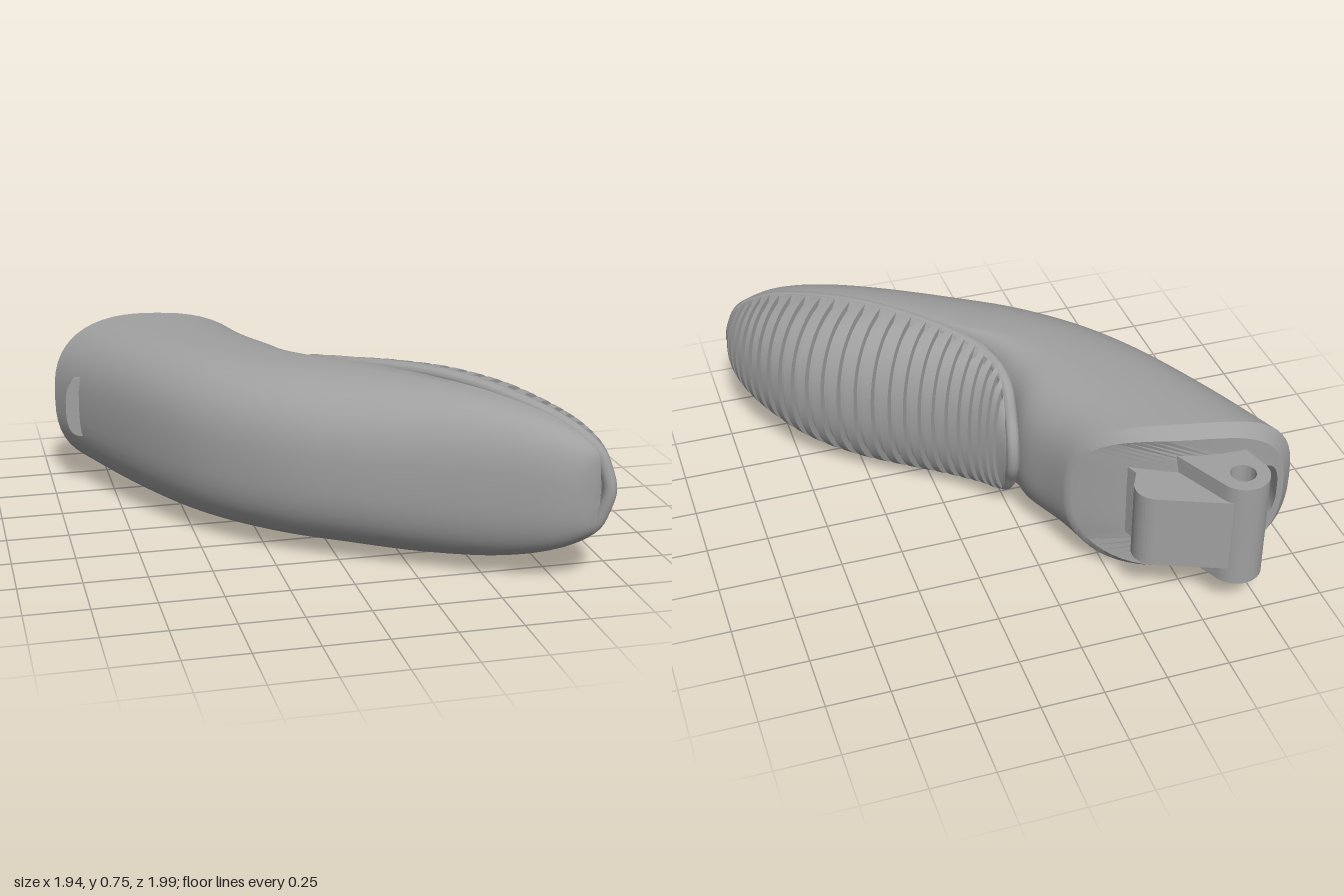
import * as THREE from 'three';
import { toCreasedNormals } from 'three/addons/utils/BufferGeometryUtils.js';

const MID = 0.379; // height of the horizontal symmetry plane
const V = (x, y, z) => new THREE.Vector3(x, y, z);
const spow = (v, e) => Math.sign(v) * Math.pow(Math.abs(v), e);

// Skin a list of equally long point rings
function loft(rings, crease) {
  const pos = [], idx = [], n = rings[0].length;
  rings.forEach(r => r.forEach(p => pos.push(p.x, p.y, p.z)));
  for (let i = 0; i < rings.length - 1; i++)
    for (let j = 0; j < n - 1; j++) {
      const a = i * n + j, b = a + n, c = b + 1, d = a + 1;
      idx.push(a, d, b, b, d, c);
    }
  const g = new THREE.BufferGeometry();
  g.setAttribute('position', new THREE.Float32BufferAttribute(pos, 3));
  g.setIndex(idx);
  return toCreasedNormals(g, crease);
}

// Body stations: outer x, z; inner x, z; half height; widest point (-1 outer, 1 inner); end bulge
const BODY = [
  [-0.97, -0.70, -0.10, -0.51, 0.35, 0, 0.09],
  [-0.82, -0.38, -0.06, -0.40, 0.35, 0, 0.03],
  [-0.65, -0.04, 0.00, -0.25, 0.35, 0.05, 0],
  [-0.48, 0.22, 0.00, -0.10, 0.35, 0.3, 0],
  [-0.25, 0.45, 0.03, 0.05, 0.352, 0.6, 0],
  [0.00, 0.62, 0.15, 0.22, 0.352, 0.85, 0],
  [0.25, 0.755, 0.36, 0.44, 0.345, 0.9, 0],
  [0.48, 0.875, 0.58, 0.66, 0.315, 0.9, 0],
  [0.66, 0.96, 0.76, 0.84, 0.255, 0.9, 0],
  [0.77, 0.99, 0.87, 0.95, 0.17, 0.8, 0],
  [0.84, 0.985, 0.88, 0.97, 0.08, 0.5, 0],
  [0.88, 0.97, 0.885, 0.965, 0.002, 0, 0],
];

// Pad stations: seam x, z; crown x, z; half height
const PAD = [
  [0.015, -0.23, 0.04, -0.245, 0.08],
  [0.00, -0.10, 0.085, -0.165, 0.27],
  [0.03, 0.05, 0.16, -0.075, 0.325],
  [0.12, 0.19, 0.28, 0.03, 0.35],
  [0.25, 0.33, 0.43, 0.14, 0.367],
  [0.40, 0.48, 0.61, 0.265, 0.369],
  [0.55, 0.63, 0.77, 0.41, 0.345],
  [0.70, 0.78, 0.88, 0.58, 0.295],
  [0.80, 0.87, 0.945, 0.73, 0.24],
  [0.88, 0.935, 0.965, 0.86, 0.16],
  [0.915, 0.96, 0.925, 0.95, 0.04],
];

// Smooth lookup in a station table, t from 0 to 1
function sampler(table) {
  const n = table.length - 1;
  return t => {
    const f = Math.min(t, 1) * n, i = Math.min(Math.floor(f), n - 1), w = f - i;
    const row = k => table[Math.max(0, Math.min(n, k))];
    return table[0].map((_, c) => {
      const [p0, p1, p2, p3] = [row(i - 1)[c], row(i)[c], row(i + 1)[c], row(i + 2)[c]];
      const m1 = (p2 - p0) / 2, m2 = (p3 - p1) / 2, d = p1 - p2;
      return p1 + w * (m1 + w * (-3 * d - 2 * m1 - m2 + w * (2 * d + m1 + m2)));
    });
  };
}

// Rounded ring across a station; lo..hi is its span, push moves it out of the rear end
function bodyRing([ox, oz, ix, iz, h, c, bulge], lo = -1, hi = 1, push = 0, power = 2.7) {
  const mx = (ox + ix) / 2, mz = (oz + iz) / 2, ux = (ix - ox) / 2, uz = (iz - oz) / 2;
  const len = Math.hypot(ux, uz), ring = [], N = 56;
  for (let j = 0; j <= N; j++) {
    const a = j / N * Math.PI * 2, cs = spow(Math.cos(a), 2 / power);
    const u = c + cs * (cs > 0 ? hi - c : c - lo);
    const out = bulge * (1 - u * u) + push * (push > 0 ? 1 - Math.max(0, u) ** 2 : 1);
    ring.push(V(mx + u * ux + uz / len * out, MID + h * spow(Math.sin(a), 2 / power), mz + u * uz - ux / len * out));
  }
  return ring;
}

function bodyGeometry() {
  const at = sampler(BODY), end = BODY[0];
  const endRow = (h, c) => [...end.slice(0, 4), h, c, end[6]];
  const rings = [
    // recessed slot in the end face, then the face and its chamfer
    bodyRing(endRow(0.001, -0.69), -0.695, -0.685, -0.2),
    bodyRing(endRow(0.13, -0.69), -0.85, -0.53, -0.2),
    bodyRing(endRow(0.13, -0.69), -0.85, -0.53, 0.05),
    bodyRing(endRow(0.22, -0.35), -0.88, 0.2, 0.05),
    bodyRing(endRow(0.31, 0), -0.91, 0.95, 0.05),
  ];
  for (let i = 0; i <= 55; i++) rings.push(bodyRing(at(i / 55)));
  return loft(rings, 0.55);
}

// Half-round section of the pad, sunk by depth except near the rim
const padAt = sampler(PAD);
function padRing(t, depth) {
  const [sx, sz, cx, cz, h] = padAt(t), ring = [], N = 32;
  const w = Math.hypot(cx - sx, cz - sz);
  for (let j = 0; j <= N; j++) {
    const a = (j / N - 0.5) * Math.PI;
    const cs = Math.pow(Math.max(0, Math.cos(a)), 2 / 2.2), sn = spow(Math.sin(a), 2 / 2.2);
    const sink = depth * THREE.MathUtils.clamp((cs * w - 0.04) / 0.015, 0, 1);
    const k = cs - sink * Math.cos(a) / w;
    ring.push(V(sx + (cx - sx) * k, MID + h * sn - sink * Math.sin(a), sz + (cz - sz) * k));
  }
  return ring;
}

function padGeometry() {
  const rings = [0, 0.02, 0.05].map(t => padRing(t, 0));
  const count = 25, from = 0.085, to = 0.93, pitch = (to - from) / count;
  for (let i = 0; i < count; i++) {
    const a = from + i * pitch, b = a + pitch * 0.45;
    rings.push(padRing(a, 0), padRing(a + 0.0005, 0.028), padRing(b, 0.028), padRing(b + 0.0005, 0));
  }
  [0.94, 0.96, 0.98, 1].forEach(t => rings.push(padRing(t, 0)));
  return loft(rings, 0.6);
}

// Bead that runs round the seam of pad and body
function rimGeometry() {
  const pts = [];
  for (const side of [1, -1])
    for (let i = 0; i <= 20; i++) {
      const t = side > 0 ? i / 20 : 1 - i / 20;
      const [sx, sz, , , h] = padAt(t);
      pts.push(V(sx + 0.01, MID + side * Math.max(0.015, h - 0.024), sz - 0.01));
    }
  return new THREE.TubeGeometry(new THREE.CatmullRomCurve3(pts, true), 160, 0.027, 10, true);
}

// Upright plate from a plan drawn as (x, -z)
function upright(shape, y0, y1) {
  const g = new THREE.ExtrudeGeometry(shape, { depth: y1 - y0, bevelEnabled: false, curveSegments: 20 });
  g.rotateX(-Math.PI / 2).translate(0, y0, 0);
  return toCreasedNormals(g, 0.5);
}

function barrelShape() {
  const s = new THREE.Shape();
  s.moveTo(-0.70, 0.64);
  s.lineTo(-0.43, 0.64);
  s.absarc(-0.665, 0.897, 0.103, 0.42, 3.5, false);
  s.closePath();
  const hole = new THREE.Path();
  hole.absarc(-0.665, 0.897, 0.05, 0, Math.PI * 2, true);
  s.holes.push(hole);
  return s;
}

function blockShape() {
  const s = new THREE.Shape();
  s.moveTo(-0.45, 0.62);
  s.lineTo(-0.28, 0.58);
  s.lineTo(-0.32, 0.69);
  s.absarc(-0.365, 0.785, 0.085, -0.6, 1.17, false);
  s.lineTo(-0.62, 0.985);
  s.lineTo(-0.575, 0.93);
  s.closePath();
  return s;
}

export function createModel() {
  const group = new THREE.Group();
  const grey = new THREE.MeshStandardMaterial({ color: 0xa0a0a0, side: THREE.DoubleSide });
  grey.name = 'plain grey';
  const add = (name, geometry) => {
    const mesh = new THREE.Mesh(geometry, grey);
    mesh.name = name;
    group.add(mesh);
  };
  add('body', bodyGeometry());
  add('ribbedPad', padGeometry());
  add('padRim', rimGeometry());
  add('hingeBarrel', upright(barrelShape(), 0.15, 0.61));
  add('hingeBlock', upright(blockShape(), 0.22, 0.54));
  return group;
}
